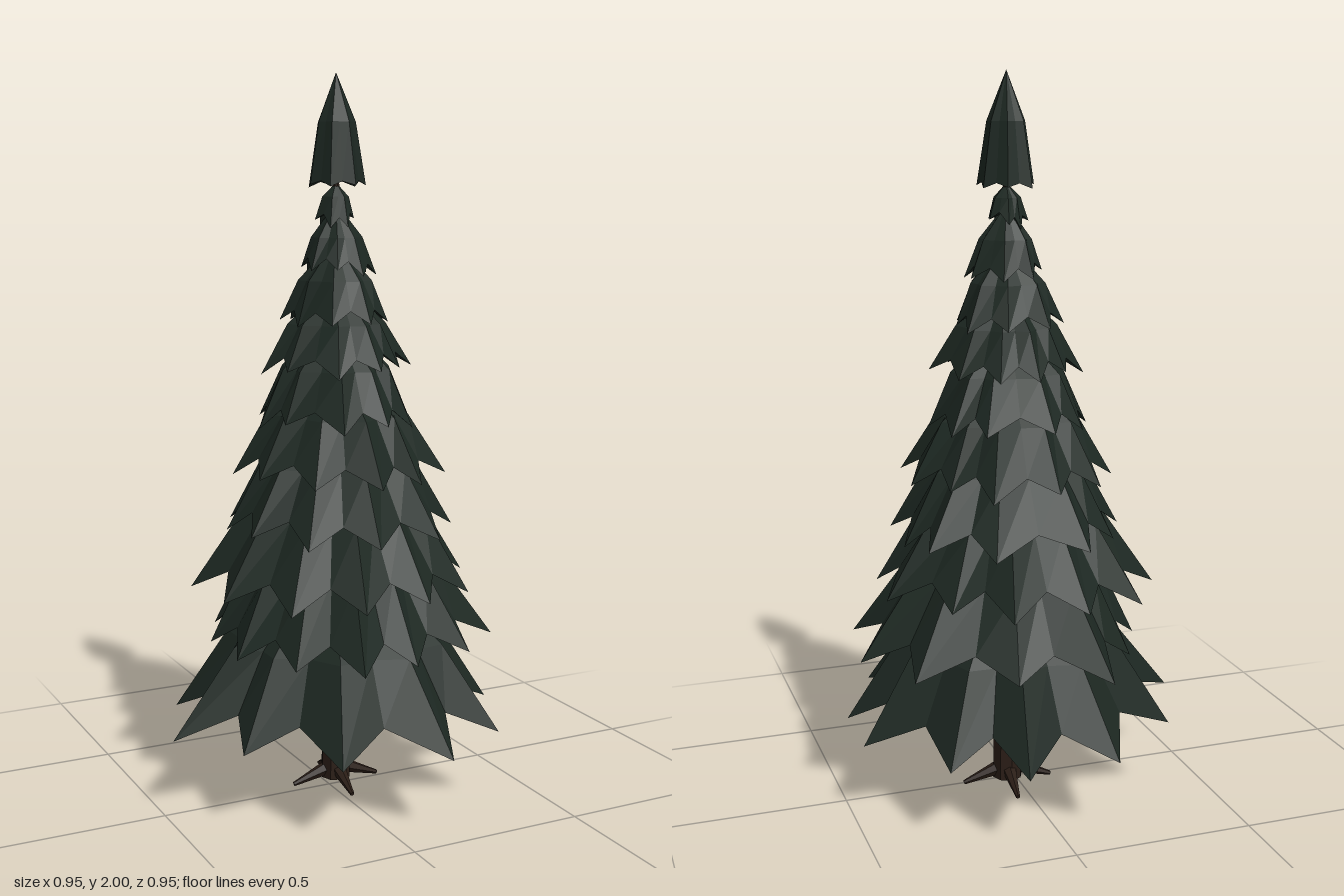
import * as THREE from 'three';

const AXIS = new THREE.Vector3(0.03, 0, -0.02);
const needleMat = new THREE.MeshStandardMaterial({ color: 0x1d2822, flatShading: true, side: THREE.DoubleSide });
const barkMat = new THREE.MeshStandardMaterial({ color: 0x2a1d16, flatShading: true });

// Small seeded generator, returns a function giving values in 0..1
function seeded(seed) {
  return () => {
    seed = (seed * 16807) % 2147483647;
    return seed / 2147483647;
  };
}

// Jagged skirt: apex -> folded middle ring -> rim of alternating tips and notches -> hollow underside.
// tips: list of { a: angle, r: radius, y: height }, sorted by angle
function skirtGeometry(tips, { top, midY, midScale, notchScale, notchRise, meanR, underY }) {
  const mid = [], rim = [];
  const point = (a, r, y) => [Math.cos(a) * r, y, Math.sin(a) * r];
  tips.forEach((t, i) => {
    const next = tips[(i + 1) % tips.length];
    const gap = (next.a - t.a + Math.PI * 2) % (Math.PI * 2);
    const notchA = t.a + gap / 2;
    const notchR = (meanR + t.r + next.r) / 3;
    rim.push(point(t.a, t.r, t.y), point(notchA, notchR * notchScale, (t.y + next.y) / 2 + notchRise));
    mid.push(point(t.a, (t.r * 0.5 + meanR * 0.5) * midScale, midY), point(notchA, notchR * midScale * 0.86, midY));
  });
  const apex = [0, top, 0], under = [0, underY, 0];
  const pos = [];
  for (let i = 0; i < rim.length; i++) {
    const j = (i + 1) % rim.length;
    pos.push(...apex, ...mid[j], ...mid[i]);
    pos.push(...mid[i], ...mid[j], ...rim[j]);
    pos.push(...mid[i], ...rim[j], ...rim[i]);
    pos.push(...under, ...rim[i], ...rim[j]);
  }
  const geo = new THREE.BufferGeometry();
  geo.setAttribute('position', new THREE.Float32BufferAttribute(pos, 3));
  geo.computeVertexNormals();
  return geo;
}

// Evenly spread tips with a little irregularity
function randomTips(count, r, y, rand, wobble = 1) {
  const start = rand() * Math.PI * 2;
  return Array.from({ length: count }, (_, i) => ({
    a: start + ((i + (rand() - 0.5) * 0.4 * wobble) / count) * Math.PI * 2,
    r: r * (1 + (rand() * 0.2 - 0.13) * wobble),
    y: y + (rand() - 0.4) * 0.03 * wobble,
  }));
}

// Tips placed one by one as [x, z]
function placedTips(points, y) {
  return points.map(([x, z]) => ({
    a: Math.atan2(z - AXIS.z, x - AXIS.x),
    r: Math.hypot(x - AXIS.x, z - AXIS.z),
    y,
  })).sort((p, q) => p.a - q.a);
}

export function createModel() {
  const tree = new THREE.Group();
  tree.name = 'pineTree';
  tree.position.copy(AXIS);

  const add = (geo, mat, name) => {
    const mesh = new THREE.Mesh(geo, mat);
    mesh.name = name;
    tree.add(mesh);
    return mesh;
  };

  // Trunk, tapering up to the crown
  const trunk = new THREE.CylinderGeometry(0.008, 0.043, 1.76, 8);
  trunk.translate(0, 0.9, 0);
  add(trunk, barkMat, 'trunk');

  // Four pointed roots spreading over the ground
  const up = new THREE.Vector3(0, 1, 0);
  for (let i = 0; i < 4; i++) {
    const a = (i * Math.PI) / 2 + 0.08;
    const from = new THREE.Vector3(Math.cos(a) * 0.015, 0.05, Math.sin(a) * 0.015);
    const to = new THREE.Vector3(Math.cos(a) * 0.128, 0.01, Math.sin(a) * 0.128);
    const dir = to.clone().sub(from);
    const root = add(new THREE.CylinderGeometry(0.006, 0.022, dir.length(), 6), barkMat, 'root');
    root.position.copy(from).add(to).multiplyScalar(0.5);
    root.quaternion.setFromUnitVectors(up, dir.normalize());
  }

  // Two lowest branch tiers, with long uneven tips
  const lowest = placedTips([
    [-0.14, -0.45], [0.12, -0.475], [0.30, -0.365], [0.475, -0.13], [0.475, 0.07], [0.35, 0.345],
    [0.13, 0.475], [-0.165, 0.415], [-0.35, 0.2], [-0.48, 0.02], [-0.37, -0.25],
  ], 0.22);
  add(skirtGeometry(lowest, {
    top: 0.72, midY: 0.45, midScale: 0.68, notchScale: 0.78, notchRise: 0.07, meanR: 0.45, underY: 0.55,
  }), needleMat, 'branchTier');

  const second = placedTips([
    [-0.12, -0.455], [0.12, -0.39], [0.37, -0.285], [0.47, -0.09], [0.43, 0.17], [0.28, 0.3],
    [0.09, 0.35], [-0.08, 0.375], [-0.22, 0.25], [-0.32, 0.09], [-0.32, -0.1], [-0.24, -0.27],
  ], 0.445);
  add(skirtGeometry(second, {
    top: 0.9, midY: 0.66, midScale: 0.68, notchScale: 0.82, notchRise: 0.06, meanR: 0.4, underY: 0.72,
  }), needleMat, 'branchTier');

  // Upper branch tiers: [tip height, tip radius, number of tips]
  const tiers = [
    [0.605, 0.385, 12], [0.765, 0.33, 11], [0.915, 0.29, 11], [1.06, 0.245, 10],
    [1.2, 0.2, 10], [1.335, 0.155, 9], [1.47, 0.108, 8], [1.6, 0.055, 7],
  ];
  const rand = seeded(4127);
  tiers.forEach(([y, r, count]) => {
    const height = 0.1 + r * 0.8;
    add(skirtGeometry(randomTips(count, r, y, rand), {
      top: Math.min(y + height, 1.71), midY: y + height * 0.5, midScale: 0.68,
      notchScale: 0.83, notchRise: 0.02 + r * 0.1, meanR: r * 0.97, underY: y + r * 0.65,
    }), needleMat, 'branchTier');
  });

  // Pointed crown
  add(skirtGeometry(randomTips(7, 0.081, 1.7, rand, 0.3), {
    top: 2, midY: 1.87, midScale: 0.66, notchScale: 0.84, notchRise: 0.012, meanR: 0.081, underY: 1.75,
  }), needleMat, 'crown');

  const model = new THREE.Group();
  model.name = 'model';
  model.add(tree);
  return model;
}
